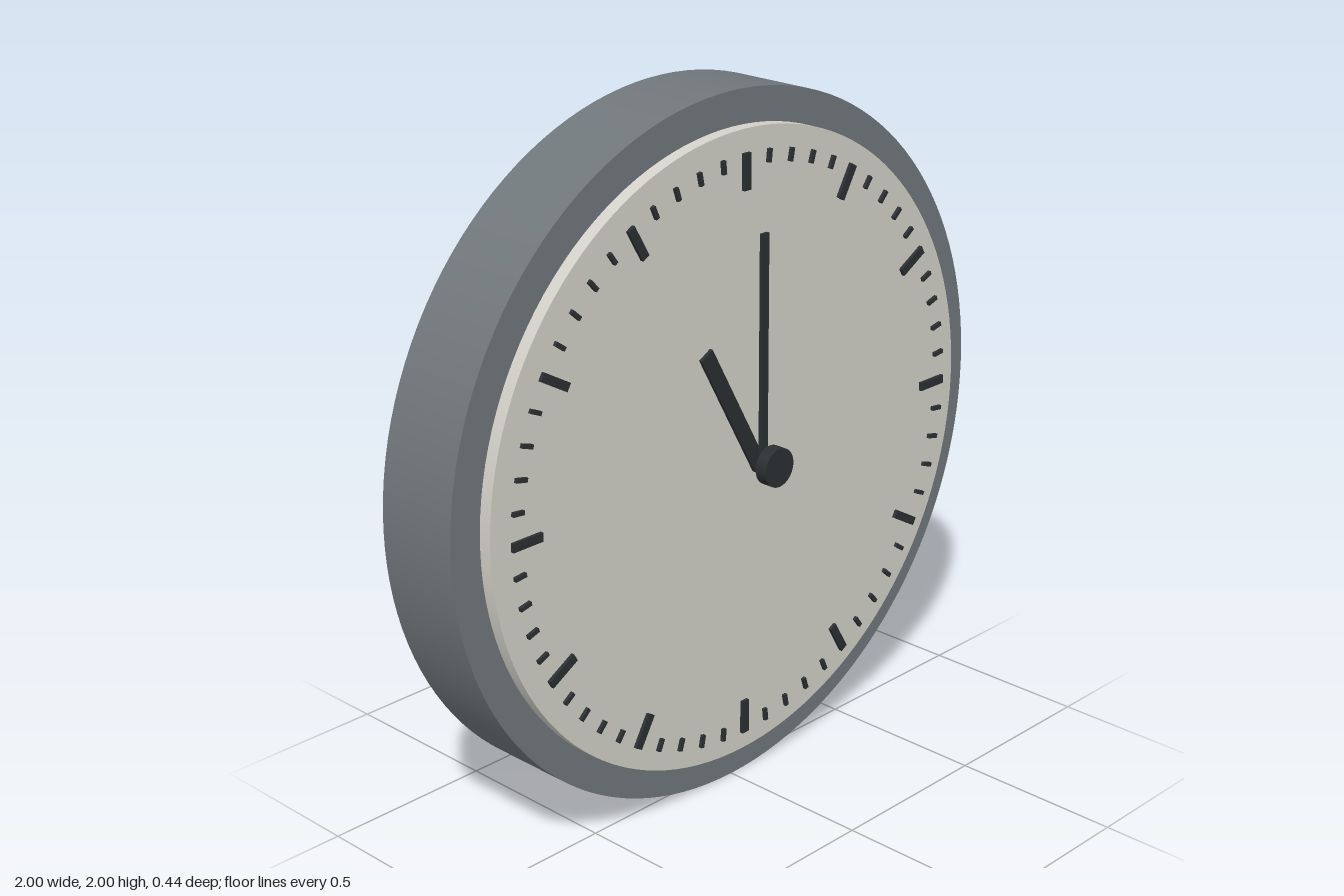
import * as THREE from 'three';

const material = (color) => new THREE.MeshStandardMaterial({ color });

// Disc facing +z, spanning z0 to z1
function disc(name, radius, z0, z1, mat, segments) {
  const geometry = new THREE.CylinderGeometry(radius, radius, z1 - z0, segments);
  geometry.rotateX(Math.PI / 2);
  const mesh = new THREE.Mesh(geometry, mat);
  mesh.name = name;
  mesh.position.z = (z0 + z1) / 2;
  return mesh;
}

// Flat bar pointing away from the centre, between radii r0 and r1
function radialBar(name, r0, r1, width, depth, angle, z, mat) {
  const geometry = new THREE.BoxGeometry(width, r1 - r0, depth);
  geometry.translate(0, (r0 + r1) / 2, 0);
  const mesh = new THREE.Mesh(geometry, mat);
  mesh.name = name;
  mesh.rotation.z = angle;
  mesh.position.z = z;
  return mesh;
}

export function createModel() {
  const model = new THREE.Group();
  model.name = 'wallClock';
  const clock = new THREE.Group();
  clock.name = 'clock';
  clock.position.y = 1;
  model.add(clock);

  const caseGrey = material(0x70777b);
  const dialCream = material(0xd3d1c8);
  const dark = material(0x2b2f33);

  // Case and raised dial
  clock.add(disc('case', 1, -0.22, 0.04, caseGrey, 128));
  clock.add(disc('dial', 0.905, 0.03, 0.078, dialCream, 128));

  // Sixty ticks, every fifth one longer and wider
  const ticks = new THREE.Group();
  ticks.name = 'ticks';
  for (let i = 0; i < 60; i++) {
    const angle = (-i * Math.PI) / 30;
    ticks.add(i % 5 === 0
      ? radialBar('hourTick', 0.745, 0.845, 0.025, 0.01, angle, 0.092, dark)
      : radialBar('minuteTick', 0.808, 0.845, 0.012, 0.01, angle, 0.092, dark));
  }
  clock.add(ticks);

  // Hour hand leans slightly forward towards its tip
  const hourHand = radialBar('hourHand', -0.025, 0.41, 0.046, 0.01, Math.PI / 6, 0.131, dark);
  hourHand.rotation.x = 0.03;
  clock.add(hourHand);

  const minuteHand = radialBar('minuteHand', -0.01, 0.645, 0.026, 0.01, 0, 0.162, dark);
  minuteHand.position.x = -0.006;
  clock.add(minuteHand);

  // Centre cap
  clock.add(disc('centreCap', 0.055, 0.18, 0.217, dark, 48));

  return model;
}
